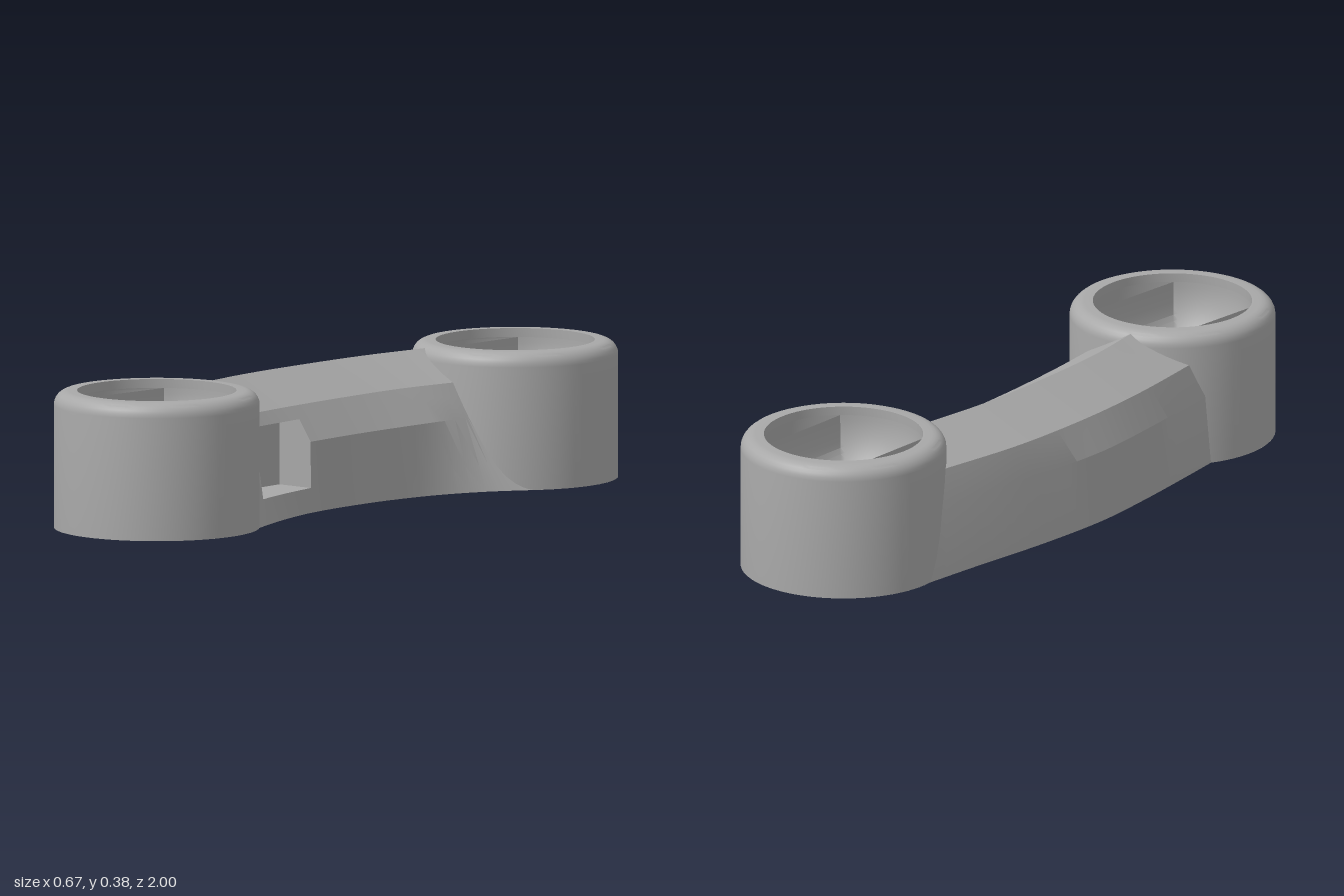
import * as THREE from 'three';
import { toCreasedNormals } from 'three/addons/utils/BufferGeometryUtils.js';

const grey = new THREE.MeshStandardMaterial({ color: 0xa8a8a8, side: THREE.DoubleSide });
grey.name = 'plain grey';

const R = 0.287, HEIGHT = 0.385, RIM = 0.222, BOWL_Y = 0.36;
const SLOT_Y = 0.12, HORN_Y = 0.07, RING_Y = 0.03;
const CUPS = [
  { name: 'frontCup', x: -0.05, z: 0.712, turn: -0.13 },
  { name: 'backCup', x: 0.05, z: -0.712, turn: -0.073 },
];
const PIN_HOLES = [[0, 0.055], [-0.102, 0.037], [0.102, 0.037]]; // z offset, radius

function addMesh(parent, name, geometry, crease = 0.5) {
  const mesh = new THREE.Mesh(toCreasedNormals(geometry, crease), grey);
  mesh.name = name;
  parent.add(mesh);
  return mesh;
}

// Skin between rows of [x, y, z] points; skip(r, c) leaves a cell open
function loft(rows, closed, skip = () => false) {
  const n = rows[0].length, index = [];
  for (let r = 0; r < rows.length - 1; r++) {
    for (let c = 0; c < (closed ? n : n - 1); c++) {
      if (skip(r, c)) continue;
      const a = r * n + c, b = r * n + (c + 1) % n;
      index.push(a, b, a + n, b, b + n, a + n);
    }
  }
  const g = new THREE.BufferGeometry();
  g.setAttribute('position', new THREE.Float32BufferAttribute(rows.flat(2), 3));
  g.setIndex(index);
  g.computeVertexNormals();
  return g;
}

// Points [x, z] along an arc
function arc(x, z, r, from, to, n = 32) {
  return Array.from({ length: n + 1 }, (_, i) => {
    const a = from + (to - from) * i / n;
    return [x + r * Math.cos(a), z + r * Math.sin(a)];
  });
}
const circle = (x, z, r) => arc(x, z, r, 0, Math.PI * 2).slice(0, -1);

// Round hub with a square-ended bar through it along z
const BAR_W = 0.055, BAR_L = 0.235;
function hubAndBar(r) {
  const a = Math.acos(BAR_W / r);
  return [
    ...arc(0, 0, r, -a, a, 20), [BAR_W, BAR_L], [-BAR_W, BAR_L],
    ...arc(0, 0, r, Math.PI - a, Math.PI + a, 20), [-BAR_W, -BAR_L], [BAR_W, -BAR_L],
  ];
}

const vectors = pts => pts.map(p => new THREE.Vector2(p[0], p[1]));
function flat(outline, y, holes = []) {
  const shape = new THREE.Shape(vectors(outline));
  shape.holes = holes.map(h => new THREE.Path(vectors(h)));
  return new THREE.ShapeGeometry(shape).rotateX(Math.PI / 2).translate(0, y, 0);
}
const wall = (pts, y0, y1) => loft([y0, y1].map(y => pts.map(p => [p[0], y, p[1]])), true);

function createCup({ name, x, z, turn }) {
  const cup = new THREE.Group();
  cup.name = name;
  cup.position.set(x, 0, z);
  cup.rotation.y = turn;

  // Outer wall with a rounded rim
  const profile = [[R, 0], [R, 0.345]];
  for (let i = 1; i <= 6; i++) {
    const a = i * Math.PI / 12;
    profile.push([R - 0.04 + 0.04 * Math.cos(a), 0.345 + 0.04 * Math.sin(a)]);
  }
  profile.push([RIM, HEIGHT], [RIM, BOWL_Y]);
  addMesh(cup, 'cupWall', new THREE.LatheGeometry(vectors(profile), 72));

  // Spherical bowl cut by a round-ended slot
  const half = 0.095, slotR = 0.087;
  const slot = [...arc(0, half, slotR, 0, Math.PI, 24), ...arc(0, -half, slotR, Math.PI, Math.PI * 2, 24)];
  const bowlY = r => BOWL_Y - Math.sqrt(Math.max(0, RIM * RIM - r * r));
  const bowl = [];
  for (let i = 0; i <= 12; i++) {
    const t = Math.sin(i / 12 * Math.PI / 2);
    bowl.push(slot.map(([px, pz]) => {
      const r0 = Math.hypot(px, pz), r = r0 + (RIM - r0) * t;
      return [px * r / r0, bowlY(r), pz * r / r0];
    }));
  }
  addMesh(cup, 'bowl', loft(bowl, true), 0.8);
  addMesh(cup, 'slotWall', loft([slot.map(p => [p[0], SLOT_Y, p[1]]), bowl[0]], true));

  // Slot floor, pin holes and the stepped recess underneath
  const pins = PIN_HOLES.map(([pz, r]) => circle(0, pz, r));
  const horn = hubAndBar(0.085);
  addMesh(cup, 'slotFloor', flat(slot, SLOT_Y, pins));
  addMesh(cup, 'hornFloor', flat(horn, HORN_Y, pins));
  pins.forEach(p => addMesh(cup, 'pinHole', wall(p, HORN_Y, SLOT_Y)));
  addMesh(cup, 'hornWall', wall(horn, RING_Y, HORN_Y));
  addMesh(cup, 'recessWall', wall(hubAndBar(0.175), 0, RING_Y));
  const a = Math.acos(BAR_W / 0.175), b = Math.acos(BAR_W / 0.085);
  for (const m of [0, Math.PI]) {
    addMesh(cup, 'recessRing', flat([...arc(0, 0, 0.175, m - a, m + a), ...arc(0, 0, 0.085, m + b, m - b)], RING_Y));
  }
  // Bars continue at full recess height beyond the ring
  for (const s of [-1, 1]) {
    const bar = [[-BAR_W, s * 0.16], [-BAR_W, s * BAR_L], [BAR_W, s * BAR_L], [BAR_W, s * 0.16]];
    addMesh(cup, 'barEndWall', loft([0, HORN_Y].map(y => bar.map(p => [p[0], y, p[1]])), false));
  }
  return cup;
}

// Arm rails: height, z stations, x at each station
const RAILS = [
  [0, [-0.7, -0.5, -0.25, 0, 0.2, 0.45, 0.56], [-0.236, -0.265, -0.305, -0.328, -0.322, -0.303, -0.293]],
  [0.2, [-0.66, -0.3, 0, 0.25, 0.58], [-0.21, -0.28, -0.318, -0.31, -0.28]],
  [0.295, [-0.61, -0.3, 0, 0.25, 0.55], [-0.195, -0.255, -0.278, -0.275, -0.25]],
  [0.375, [-0.476, -0.25, 0, 0.25, 0.452], [-0.07, -0.105, -0.12, -0.12, -0.1]],
  [0.295, [-0.448, -0.25, 0, 0.25, 0.465], [0.07, 0.035, 0.025, 0.03, 0.045]],
  [0.2, [-0.457, -0.3, 0, 0.25, 0.494], [0.12, 0.105, 0.09, 0.095, 0.1]],
  [0, [-0.55, -0.43, -0.3, -0.12, 0, 0.15, 0.25, 0.4, 0.56], [0.287, 0.2, 0.14, 0.1, 0.09, 0.09, 0.1, 0.135, 0.187]],
];

function sampleRail([y, zs, xs]) {
  const curve = new THREE.CubicInterpolant(zs, xs, 1);
  const first = zs[0], last = zs[zs.length - 1], stations = [];
  for (let i = 0; i < 4; i++) stations.push(first + (-0.42 - first) * i / 4);
  for (let i = 0; i <= 21; i++) stations.push(-0.42 + i * 0.04);
  for (let i = 1; i <= 4; i++) stations.push(0.42 + (last - 0.42) * i / 4);
  return stations.map(z => [curve.evaluate(z)[0], y, z]);
}
const between = (a, b, t) => a.map((p, i) => p.map((v, k) => v + (b[i][k] - v) * t));

export function createModel() {
  const model = new THREE.Group();
  model.name = 'curvedLink';
  CUPS.forEach(c => model.add(createCup(c)));

  // Gabled arm, with an opening left in its left side
  const rails = RAILS.map(sampleRail);
  const top = between(rails[4], rails[5], 0.37), low = between(rails[5], rails[6], 0.65);
  const rows = [...rails.slice(0, 5), top, rails[5], low, rails[6]];
  const W0 = 20, W1 = 27;
  addMesh(model, 'arm', loft(rows, false, (r, c) => (r === 5 || r === 6) && c >= W0 && c < W1), 0.3);

  // Side pocket behind the opening
  const rim = [...top.slice(W0, W1 + 1), rails[5][W1], ...low.slice(W0, W1 + 1).reverse(), rails[5][W0]];
  const inner = rim.map(([, y, z]) => [-0.02, y, z]);
  addMesh(model, 'sidePocket', loft([rim, inner, rim.map(() => [-0.02, 0.165, 0.33])], true));

  // Underside, following the arm edges and both cups
  const edge = rail => rail.map(p => [p[0], p[2]]);
  const [front, back] = CUPS;
  const outline = [
    ...edge(rails[0]), ...arc(front.x, front.z, R, 3.7, -0.57, 64).slice(1, -1),
    ...edge(rails[6]).reverse(), ...arc(back.x, back.z, R, 0.6, -3.18, 64).slice(1, -1),
  ];
  const recesses = CUPS.map(({ x, z, turn }) => {
    const c = Math.cos(turn), s = Math.sin(turn);
    return hubAndBar(0.175).map(([px, pz]) => [x + px * c + pz * s, z - px * s + pz * c]);
  });
  const pocket = [[0.06, -0.36], [-0.25, -0.4], [-0.28, -0.21], [0.04, -0.17]];
  const hole = circle(-0.12, -0.01, 0.025);
  addMesh(model, 'underside', flat(outline, 0, [...recesses, pocket, hole]));
  for (const [name, pts, depth] of [['bottomPocket', pocket, 0.16], ['bottomHole', hole, 0.12]]) {
    addMesh(model, name + 'Wall', wall(pts, 0, depth));
    addMesh(model, name + 'Roof', flat(pts, depth));
  }
  return model;
}
